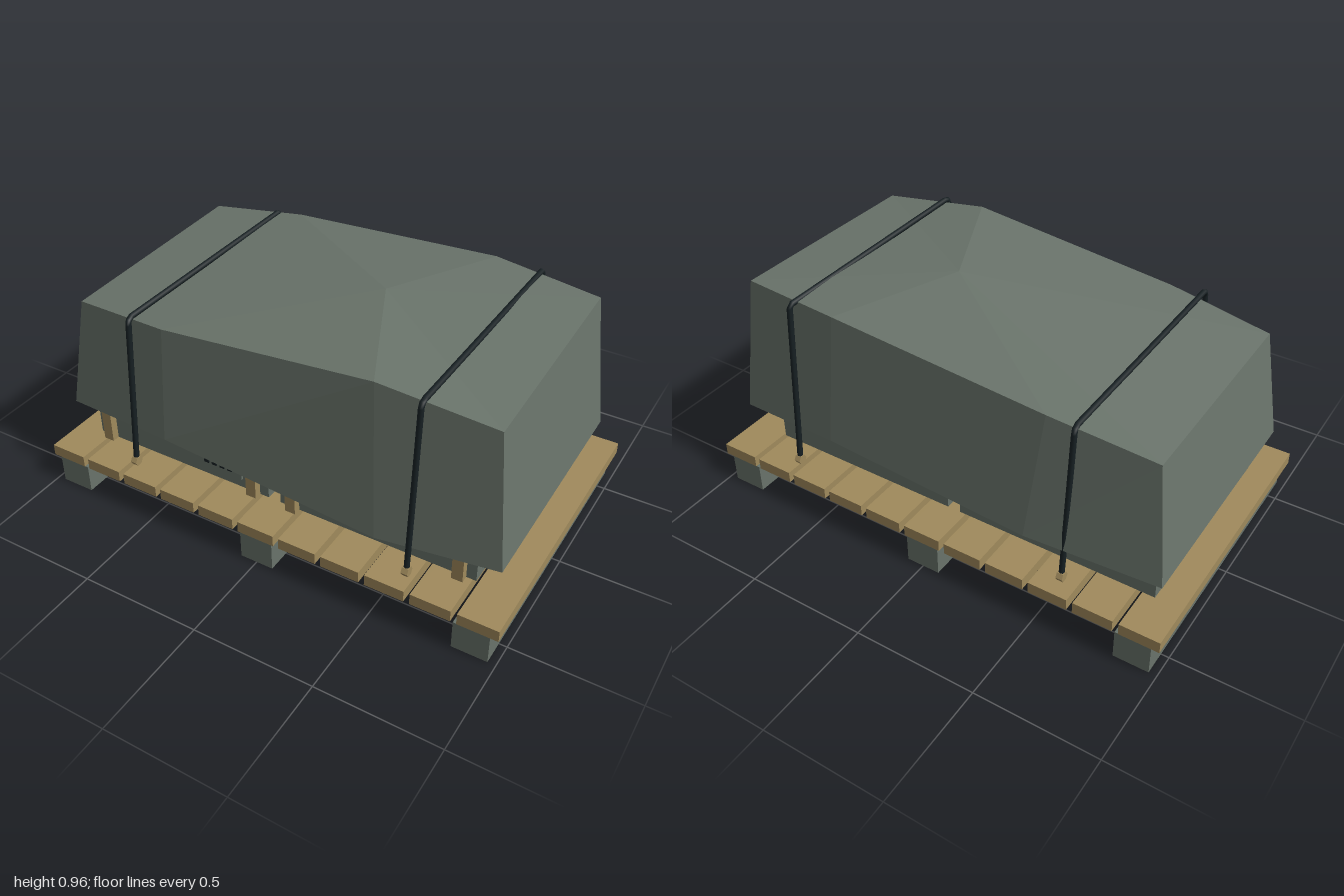
import * as THREE from 'three';

const mat = (name, color, extra = {}) => {
  const m = new THREE.MeshStandardMaterial({ color, ...extra });
  m.name = name;
  return m;
};

export function createModel() {
  const root = new THREE.Group();
  root.name = 'coveredPallet';
  const canvas = mat('greyGreen', 0x69736a, { flatShading: true });
  const wood = mat('wood', 0xa08a5c, { flatShading: true });
  const dark = mat('darkStrap', 0x172023);

  const add = (name, geo, material, x = 0, y = 0, z = 0) => {
    const mesh = new THREE.Mesh(geo, material);
    mesh.name = name;
    mesh.position.set(x, y, z);
    root.add(mesh);
    return mesh;
  };
  // Box given by its minimum and maximum corners
  const box = (name, material, x0, x1, y0, y1, z0, z1) =>
    add(name, new THREE.BoxGeometry(x1 - x0, y1 - y0, z1 - z0), material,
      (x0 + x1) / 2, (y0 + y1) / 2, (z0 + z1) / 2);

  // Pallet: three runners and eleven planks
  for (const x of [-0.897, 0, 0.897]) box('runner', canvas, x - 0.071, x + 0.071, 0, 0.122, -0.598, 0.598);
  for (let i = 0; i < 11; i++) {
    const x = -0.92 + i * 0.184;
    box('plank', wood, x - 0.08, x + 0.08, 0.122, 0.17, -0.6, 0.6);
  }

  // Two crates with front battens
  for (const [x0, x1] of [[-0.89, -0.055], [0, 0.83]]) {
    box('crate', canvas, x0, x1, 0.17, 0.62, -0.42, 0.42);
    for (const x of [x0 + 0.04, x1 - 0.085]) box('batten', wood, x, x + 0.045, 0.17, 0.62, 0.42, 0.452);
  }

  // Vent plate with four slots
  box('ventPlate', canvas, -0.39, -0.175, 0.213, 0.315, 0.42, 0.429);
  for (let i = 0; i < 4; i++) {
    const x = -0.338 + i * 0.0365;
    box('ventSlot', dark, x - 0.011, x + 0.011, 0.238, 0.29, 0.429, 0.434);
  }

  // Tarpaulin: a hem ring and a top ring, each closed by a fan
  const hem = [
    [-0.95, 0.342, 0.485], [-0.44, 0.388, 0.55], [0.48, 0.316, 0.55], [0.955, 0.355, 0.515],
    [0.94, 0.332, -0.49], [0.45, 0.395, -0.555], [-0.43, 0.355, -0.57], [-0.96, 0.36, -0.54],
  ];
  const top = [
    [-0.885, 0.81, 0.435], [-0.45, 0.853, 0.492], [0.44, 0.945, 0.5], [0.89, 0.892, 0.465],
    [0.877, 0.915, -0.44], [0.43, 0.935, -0.5], [-0.48, 0.875, -0.515], [-0.893, 0.825, -0.485],
  ];
  const peak = [0.2, 0.962, -0.02], under = [0, 0.345, 0];
  const points = [];
  hem.forEach((a, i) => {
    const j = (i + 1) % hem.length;
    points.push(a, hem[j], top[j], a, top[j], top[i], peak, top[i], top[j], under, hem[j], a);
  });
  const tarp = new THREE.BufferGeometry();
  tarp.setAttribute('position', new THREE.Float32BufferAttribute(points.flat(), 3));
  tarp.computeVertexNormals();
  add('tarpaulin', tarp, canvas);

  // Straps over the load, each ending in a hexagonal toggle
  for (const [x, yFront, yBack] of [[-0.587, 0.866, 0.866], [0.62, 0.934, 0.926]]) {
    const path = new THREE.CurvePath();
    const p = [[0.56, 0.235], [0.51, yFront - 0.012], [0.497, yFront], [-0.497, yBack], [-0.51, yBack - 0.012], [-0.56, 0.235]]
      .map(([z, y]) => new THREE.Vector3(x, y, z));
    for (let i = 0; i < p.length - 1; i++) path.add(new THREE.LineCurve3(p[i], p[i + 1]));
    add('strap', new THREE.TubeGeometry(path, 120, 0.0115, 8), dark);
    for (const z of [0.56, -0.56]) {
      add('toggle', new THREE.CylinderGeometry(0.021, 0.021, 0.026, 6), wood, x, 0.235, z).rotation.z = Math.PI / 2;
    }
  }
  return root;
}
